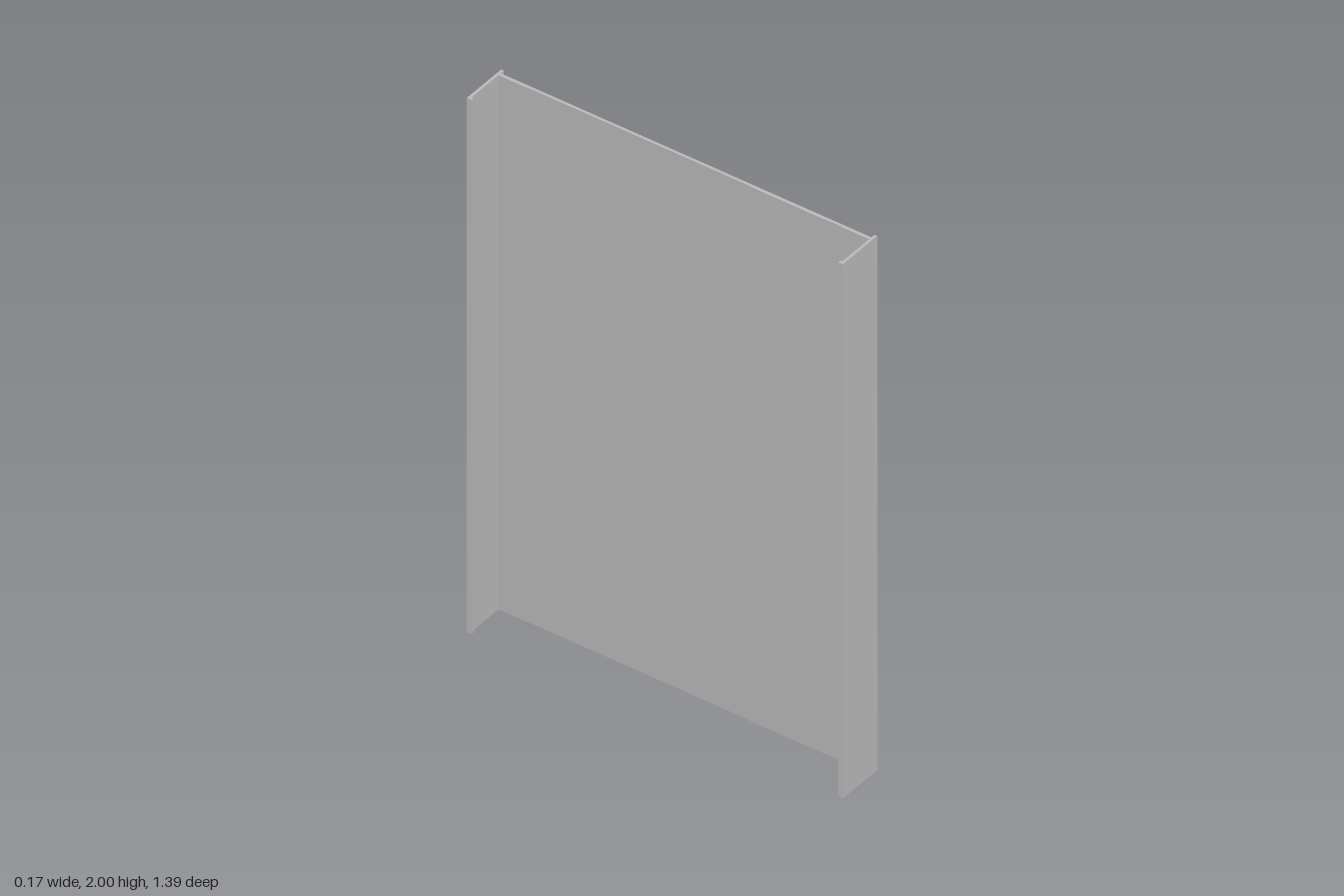
import * as THREE from 'three';

const HEIGHT = 2;

// Extrude a plan outline of [x, z] corners straight up from y = 0.
function extrudePlan(points, material, name) {
  const shape = new THREE.Shape(points.map(([x, z]) => new THREE.Vector2(x, -z)));
  const geometry = new THREE.ExtrudeGeometry(shape, { depth: HEIGHT, bevelEnabled: false });
  geometry.rotateX(-Math.PI / 2);
  const mesh = new THREE.Mesh(geometry, material);
  mesh.name = name;
  return mesh;
}

export function createModel() {
  const model = new THREE.Group();
  model.name = 'channelPanel';
  const metal = new THREE.MeshStandardMaterial({ color: 0xbababa });
  metal.name = 'grey metal';

  // Broad web, with shallow steps along its inner face
  const outer = 0.071, inner = 0.061, raised = 0.059;
  model.add(extrudePlan([
    [outer, -0.685], [outer, 0.685],
    [raised, 0.685], [raised, 0.58], [inner, 0.58],
    [inner, 0.52], [raised, 0.52], [raised, 0.24], [inner, 0.24],
    [inner, -0.58], [raised, -0.58], [raised, -0.685],
  ], metal, 'webPanel'));

  // Edge flanges, each with a small inward lip at the free end
  for (const side of [1, -1]) {
    const outline = [
      [0.087, 0.695], [0.087, 0.685], [-0.077, 0.685],
      [-0.077, 0.678], [-0.087, 0.678], [-0.087, 0.695],
    ].map(([x, z]) => [x, z * side]);
    model.add(extrudePlan(outline, metal, side > 0 ? 'frontFlange' : 'backFlange'));
  }
  return model;
}
